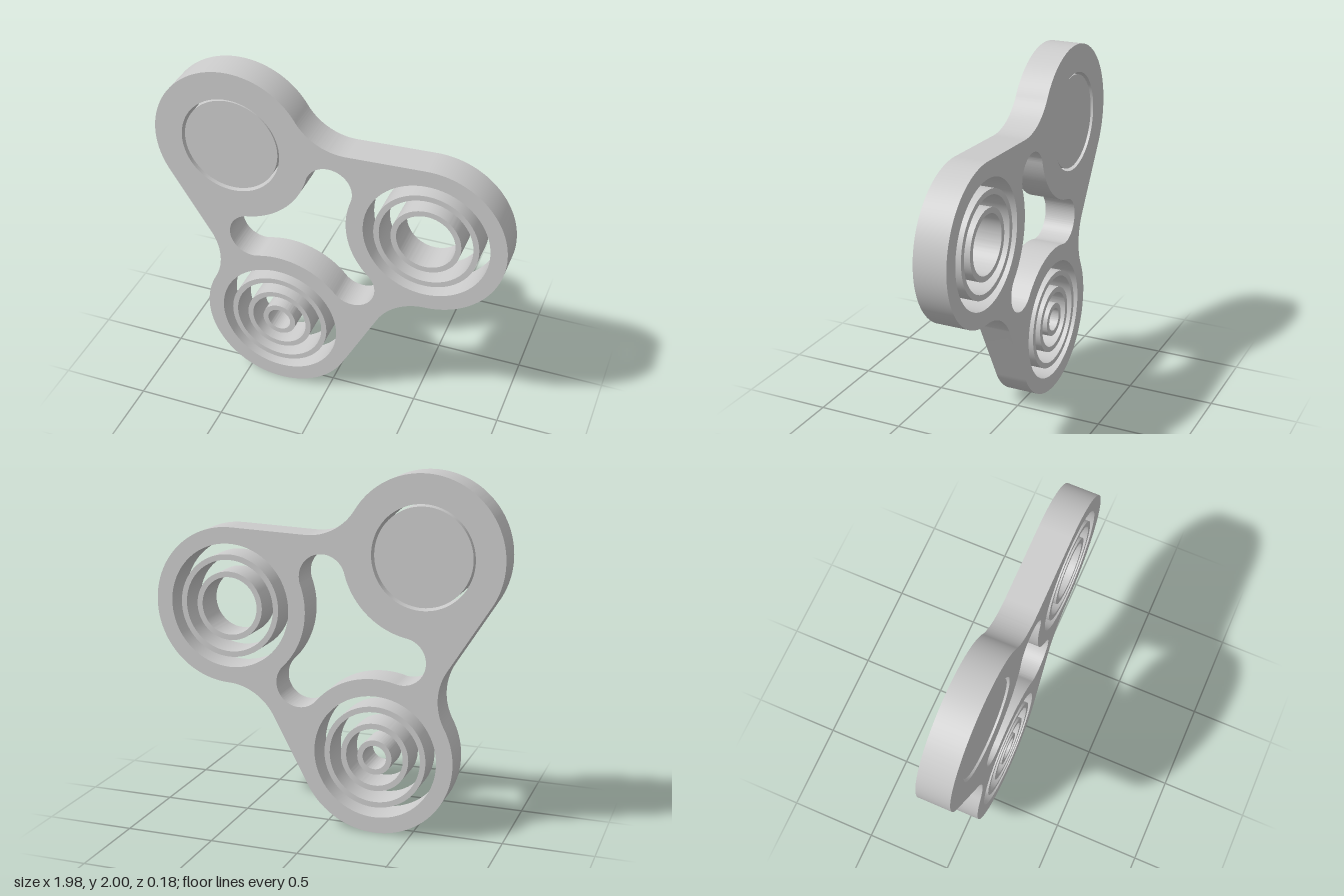
import * as THREE from 'three';
import { toCreasedNormals } from 'three/addons/utils/BufferGeometryUtils.js';

const DEPTH = 0.184;
const LOBE_R = 0.439;               // outer radius of each lobe
const INNER_R = 0.444;              // lobe radius on the side of the central opening
const ARM = 0.664;                  // hub centre to lobe centre
const EDGE = THREE.MathUtils.degToRad(79.3); // where a straight edge meets a lobe
const HUB = new THREE.Vector2(-0.099, 1.073);
const deg = THREE.MathUtils.degToRad;
const polar = (a, r) => new THREE.Vector2(Math.cos(a), Math.sin(a)).multiplyScalar(r);
const angleTo = (from, to) => Math.atan2(to.y - from.y, to.x - from.x);

// Lobes run clockwise: upper left, right, bottom
const lobeAngle = (k) => deg(132.7 - 120 * k);
const lobeCentre = (k) => polar(lobeAngle(k), ARM).add(HUB);

function extrude(shape) {
  const geo = new THREE.ExtrudeGeometry(shape, { depth: DEPTH, bevelEnabled: false, curveSegments: 64 });
  geo.translate(0, 0, -DEPTH / 2);
  return toCreasedNormals(geo, 0.5);
}

function circle(path, c, r) {
  path.absarc(c.x, c.y, r, 0, Math.PI * 2, false);
  return path;
}

// Fillet leaving lobe k, tangent to the straight edge that meets lobe k + 1
function fillet(k) {
  const c = lobeCentre(k);
  const normal = lobeAngle(k + 1) + EDGE;
  const n = polar(normal, 1);
  const end = lobeCentre(k + 1).addScaledVector(n, LOBE_R).add(polar(normal + Math.PI / 2, 0.43));
  const v = end.clone().sub(c);
  const r = (v.lengthSq() - LOBE_R ** 2) / (2 * (LOBE_R - v.dot(n)));
  return { centre: end.addScaledVector(n, r), r, normal };
}

function bodyShape() {
  const shape = new THREE.Shape();
  for (let k = 0; k < 3; k++) {
    const c = lobeCentre(k);
    const f = fillet(k);
    shape.absarc(c.x, c.y, LOBE_R, lobeAngle(k) + EDGE, angleTo(c, f.centre), true);
    shape.absarc(f.centre.x, f.centre.y, f.r, angleTo(f.centre, c), f.normal + Math.PI, false);
  }
  shape.closePath();

  // Central opening, run anticlockwise: inner lobe arcs joined by round pockets
  const pocket = (k) => polar(lobeAngle(k) - deg(60), ARM / 2 + 0.024).add(HUB);
  const opening = new THREE.Path();
  for (let k = 2; k >= 0; k--) {
    const c = lobeCentre(k), next = lobeCentre(k - 1), p = pocket(k - 1);
    opening.absarc(c.x, c.y, INNER_R, angleTo(c, pocket(k)), angleTo(c, p), true);
    opening.absarc(p.x, p.y, p.distanceTo(c) - INNER_R, angleTo(p, c), angleTo(p, next), false);
  }
  opening.closePath();
  shape.holes.push(opening);

  // Round seats in the lobes
  [0.281, 0.348, 0.348].forEach((r, k) => shape.holes.push(circle(new THREE.Path(), lobeCentre(k), r)));
  return shape;
}

export function createModel() {
  const model = new THREE.Group();
  model.name = 'spinner';
  const material = new THREE.MeshStandardMaterial({ color: 0xcccccc });
  const add = (name, geo) => {
    const mesh = new THREE.Mesh(geo, material);
    mesh.name = name;
    model.add(mesh);
    return mesh;
  };

  add('body', extrude(bodyShape()));

  // Solid disc in the upper left lobe, set in slightly
  const disc = add('capDisc', new THREE.CylinderGeometry(0.267, 0.267, DEPTH - 0.02, 96).rotateX(Math.PI / 2));
  disc.position.set(lobeCentre(0).x, lobeCentre(0).y, 0);

  // Concentric rings: two in the right-hand lobe, three in the bottom lobe
  const rings = [[0.289, 0.258], [0.193, 0.162], [0.098, 0.067]];
  const addRings = (name, k, count) => rings.slice(0, count).forEach(([outer, inner], i) => {
    const shape = circle(new THREE.Shape(), lobeCentre(k), outer);
    shape.holes.push(circle(new THREE.Path(), lobeCentre(k), inner));
    add(name + (i + 1), extrude(shape));
  });
  addRings('sideRing', 1, 2);
  addRings('bottomRing', 2, 3);

  return model;
}
